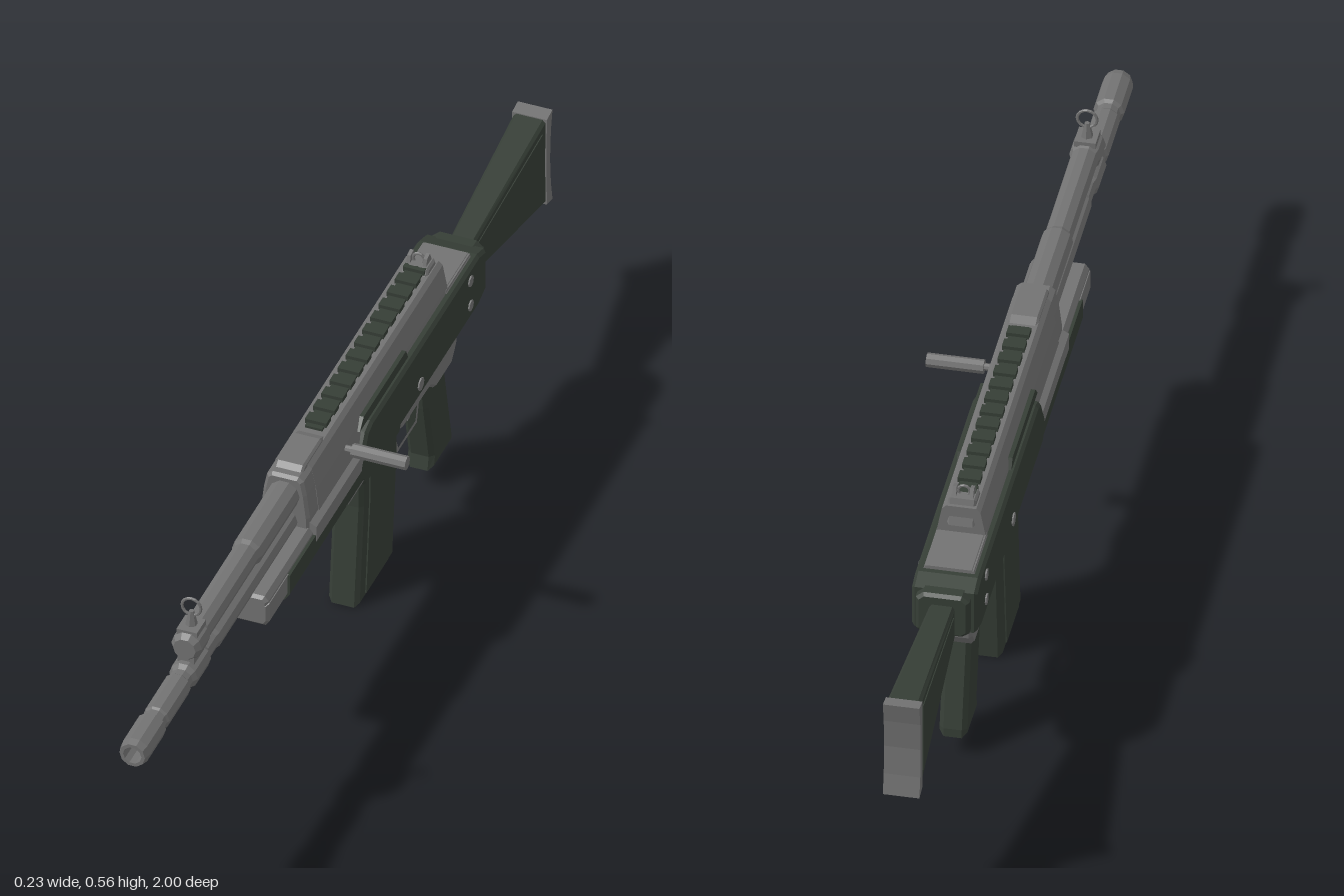
import * as THREE from 'three';

export function createModel() {
  const model = new THREE.Group();
  const gun = new THREE.Group();
  gun.name = 'rifle';
  gun.position.x = -0.053; // the side handle sticks out to +x, so the body sits off centre
  model.add(gun);

  const mat = (name, color) => Object.assign(new THREE.MeshStandardMaterial({ color }), { name });
  const grey = mat('gunmetal grey', 0x727272);
  const green = mat('dark green', 0x363e36);

  const add = (name, geo, material) => {
    const g = geo.index ? geo.toNonIndexed() : geo;
    g.computeVertexNormals(); // faceted look
    const mesh = new THREE.Mesh(g, material);
    mesh.name = name;
    gun.add(mesh);
    return mesh;
  };
  const extrude = (pts, depth, bevel, holes = []) => {
    const shape = new THREE.Shape(pts.map(p => new THREE.Vector2(...p)));
    holes.forEach(h => shape.holes.push(new THREE.Path(h.map(p => new THREE.Vector2(...p)))));
    return new THREE.ExtrudeGeometry(shape, {
      depth: depth - 2 * bevel, bevelEnabled: bevel > 0, bevelSize: bevel,
      bevelThickness: bevel, bevelOffset: -bevel, bevelSegments: 1,
    }).translate(0, 0, -depth / 2 + bevel);
  };
  // Side outline in (z, y), given a width across x
  const side = (pts, width, bevel = 0, holes) => extrude(pts, width, bevel, holes).rotateY(-Math.PI / 2);
  // Symmetric cross-section from half of its points (x, y), running from z0 back to z1
  const prism = (half, z0, z1, bevel = 0) => {
    const pts = [...half, ...half.map(([x, y]) => [-x, y]).reverse()];
    return extrude(pts, z0 - z1, bevel).translate(0, 0, (z0 + z1) / 2);
  };
  const box = (w, y0, y1, z0, z1, x = 0) =>
    new THREE.BoxGeometry(w, y1 - y0, Math.abs(z0 - z1)).translate(x, (y0 + y1) / 2, (z0 + z1) / 2);
  // Turned part along z: profile of (radius, z) from back to front
  const turned = (pts, y, sides = 10) =>
    new THREE.LatheGeometry(pts.map(p => new THREE.Vector2(...p)), sides)
      .rotateX(Math.PI / 2).rotateZ(Math.PI / sides).translate(0, y, 0);

  // Barrel with a hollow muzzle
  add('barrel', turned([
    [0, 0.2], [0.026, 0.2], [0.026, 0.62], [0.023, 0.63], [0.023, 0.67], [0.028, 0.68], [0.028, 0.745],
    [0.022, 0.755], [0.022, 0.77], [0.026, 0.775], [0.026, 0.88], [0.023, 0.885], [0.023, 0.9],
    [0.029, 0.905], [0.029, 0.985], [0.025, 1], [0.018, 1], [0.018, 0.93],
  ], 0.408), grey);
  add('bore', new THREE.CircleGeometry(0.018, 10).translate(0, 0.408, 0.935), green);

  // Gas tube above the barrel, tied to it by a block
  add('gasTube', turned([
    [0, 0.2], [0.03, 0.2], [0.03, 0.43], [0.026, 0.44], [0.026, 0.68], [0.03, 0.69],
    [0.03, 0.73], [0.022, 0.742], [0, 0.742],
  ], 0.466), grey);
  add('gasBlock', box(0.032, 0.42, 0.46, 0.735, 0.685), grey);

  // Front sight: foot, tapering post and ring
  add('frontSightFoot', box(0.04, 0.488, 0.5, 0.73, 0.685), grey);
  add('frontSightPost', new THREE.CylinderGeometry(0.005, 0.012, 0.032, 6).translate(0, 0.514, 0.706), grey);
  add('frontSightRing', new THREE.TorusGeometry(0.0185, 0.003, 6, 16).translate(0, 0.539, 0.706), grey);

  // Upper receiver
  add('receiver', prism([[0.05, 0.33], [0.05, 0.41], [0.045, 0.455], [0.036, 0.502], [0.028, 0.51]], 0.2, -0.45), grey);
  add('receiverFront', prism([[0.048, 0.385], [0.048, 0.42], [0.042, 0.47], [0.036, 0.5], [0.026, 0.508]], 0.245, 0.18, 0.006), grey);
  add('topCover', side([[0.235, 0.5], [0.215, 0.517], [0.13, 0.517], [0.1, 0.505], [0.1, 0.495], [0.235, 0.495]], 0.056, 0.004), grey);
  add('rearDeck', prism([[0.05, 0.34], [0.05, 0.443], [0.042, 0.453]], -0.44, -0.56), grey);

  // Toothed rail on top
  add('rail', box(0.034, 0.505, 0.515, 0.1, -0.42), green);
  for (let i = 0; i < 13; i++) {
    const z = 0.09 - i * 0.0405;
    add('railTooth', box(0.042, 0.512, 0.522, z, z - 0.023), green);
  }

  // Rear sight: base, two ears and a small aperture
  add('rearSightBase', side([[-0.39, 0.5], [-0.405, 0.522], [-0.44, 0.522], [-0.455, 0.47], [-0.4, 0.47]], 0.052, 0.004), grey);
  for (const s of [-1, 1])
    add('rearSightEar', side([[-0.408, 0.515], [-0.414, 0.536], [-0.428, 0.54], [-0.44, 0.515]], 0.007).translate(s * 0.016, 0, 0), grey);
  add('rearSightRing', new THREE.TorusGeometry(0.011, 0.003, 6, 12).translate(0, 0.528, -0.422), grey);

  // Fore-end: grey frame with a green lower cover
  add('foreFrame', prism([[0.05, 0.335], [0.054, 0.345], [0.054, 0.388], [0.046, 0.398]], 0.465, -0.02, 0.006), grey);
  add('foreNose', prism([[0.048, 0.332], [0.056, 0.344], [0.056, 0.384]], 0.465, 0.36, 0.006), grey);
  add('foreCover', prism([[0.05, 0.327], [0.06, 0.342], [0.06, 0.384]], 0.37, -0.02), green);
  add('foreShoulder', prism([[0.061, 0.37], [0.061, 0.403], [0.045, 0.412]], 0.24, -0.02), grey);

  // Green body shell along both sides, and its rear collar
  add('bodyShell', side([
    [0.02, 0.378], [-0.015, 0.437], [-0.04, 0.446], [-0.57, 0.446], [-0.605, 0.435],
    [-0.605, 0.346], [-0.565, 0.333], [0.0, 0.333], [0.016, 0.345],
  ], 0.122, 0.006), green);
  add('deckPlate', box(0.092, 0.44, 0.452, -0.44, -0.56), grey);
  for (const s of [-1, 1]) {
    add('portCover', side([[0.0, 0.446], [-0.02, 0.467], [-0.23, 0.467], [-0.24, 0.446]], 0.01).translate(s * 0.046, 0, 0), green);
    for (const [z, y, r] of [[-0.275, 0.362, 0.013], [-0.523, 0.42, 0.011], [-0.523, 0.364, 0.011]])
      add('pin', new THREE.CylinderGeometry(r, r, 0.005, 8).rotateZ(Math.PI / 2).translate(s * 0.0615, y, z), grey);
  }

  // Side handle
  add('handleStem', new THREE.CylinderGeometry(0.007, 0.007, 0.04, 8).rotateZ(Math.PI / 2).translate(0.045, 0.447, 0.055), grey);
  add('sideHandle', new THREE.CylinderGeometry(0.0135, 0.0135, 0.107, 8).rotateZ(Math.PI / 2).translate(0.1125, 0.447, 0.055), grey);

  // Underside plate and turn knob
  add('bottomPlate', box(0.098, 0.315, 0.337, 0.05, -0.53), grey);
  add('knobStem', new THREE.CylinderGeometry(0.028, 0.028, 0.02, 10).translate(0, 0.312, 0.018), grey);
  add('knob', new THREE.CylinderGeometry(0.041, 0.037, 0.02, 10).translate(0, 0.299, 0.018), grey);

  // Magazine with a wider throat and shallow side ribs
  add('magazine', side([
    [-0.067, 0.32], [-0.067, 0.215], [-0.045, 0.0], [-0.222, 0.0], [-0.243, 0.215], [-0.243, 0.32],
  ], 0.06, 0.008), green);
  add('magazineThroat', side([[-0.064, 0.32], [-0.064, 0.28], [-0.07, 0.268], [-0.24, 0.268], [-0.246, 0.28], [-0.246, 0.32]], 0.07, 0.004), green);
  for (const s of [-1, 1])
    add('magazineRib', side([[-0.1, 0.268], [-0.1, 0.215], [-0.08, 0.012], [-0.19, 0.012], [-0.212, 0.215], [-0.212, 0.268]], 0.004)
      .translate(s * 0.0305, 0, 0), green);

  // Trigger housing, guard and trigger
  add('triggerHousing', side([
    [-0.24, 0.32], [-0.25, 0.265], [-0.39, 0.262], [-0.42, 0.24], [-0.5, 0.24], [-0.525, 0.27], [-0.532, 0.32],
  ], 0.07, 0.006), grey);
  add('triggerGuard', side(
    [[-0.245, 0.27], [-0.282, 0.184], [-0.38, 0.184], [-0.402, 0.27]], 0.026, 0,
    [[[-0.258, 0.268], [-0.287, 0.192], [-0.373, 0.192], [-0.392, 0.268]]]), grey);
  add('trigger', side([[-0.35, 0.27], [-0.358, 0.235], [-0.352, 0.205], [-0.362, 0.205], [-0.372, 0.235], [-0.37, 0.27]], 0.012), grey);

  // Pistol grip
  add('grip', side([
    [-0.392, 0.256], [-0.4, 0.2], [-0.428, 0.07], [-0.422, 0.042], [-0.528, 0.042], [-0.528, 0.06], [-0.49, 0.235], [-0.475, 0.256],
  ], 0.052, 0.009), green);

  // Shoulder stock, widening towards the butt
  const taper = geo => {
    const p = geo.attributes.position;
    for (let i = 0; i < p.count; i++)
      p.setX(i, p.getX(i) * THREE.MathUtils.mapLinear(p.getZ(i), -0.6, -1, 0.72, 1));
    return geo;
  };
  add('stockCollar', prism([[0.036, 0.345], [0.05, 0.355], [0.05, 0.425], [0.036, 0.437]], -0.59, -0.625, 0.006), green);
  add('stock', taper(side([[-0.6, 0.412], [-0.98, 0.458], [-0.98, 0.264], [-0.6, 0.347]], 0.064, 0.006)), green);
  for (const s of [-1, 1])
    add('stockPanel', taper(side([[-0.64, 0.402], [-0.955, 0.437], [-0.955, 0.29], [-0.64, 0.354]], 0.004)
      .translate(s * 0.032, 0, 0)), green);
  add('buttPlate', side([
    [-0.972, 0.459], [-1, 0.463], [-0.992, 0.42], [-0.988, 0.36], [-0.992, 0.3], [-1, 0.258], [-0.972, 0.264], [-0.97, 0.36],
  ], 0.068), grey);

  return model;
}
